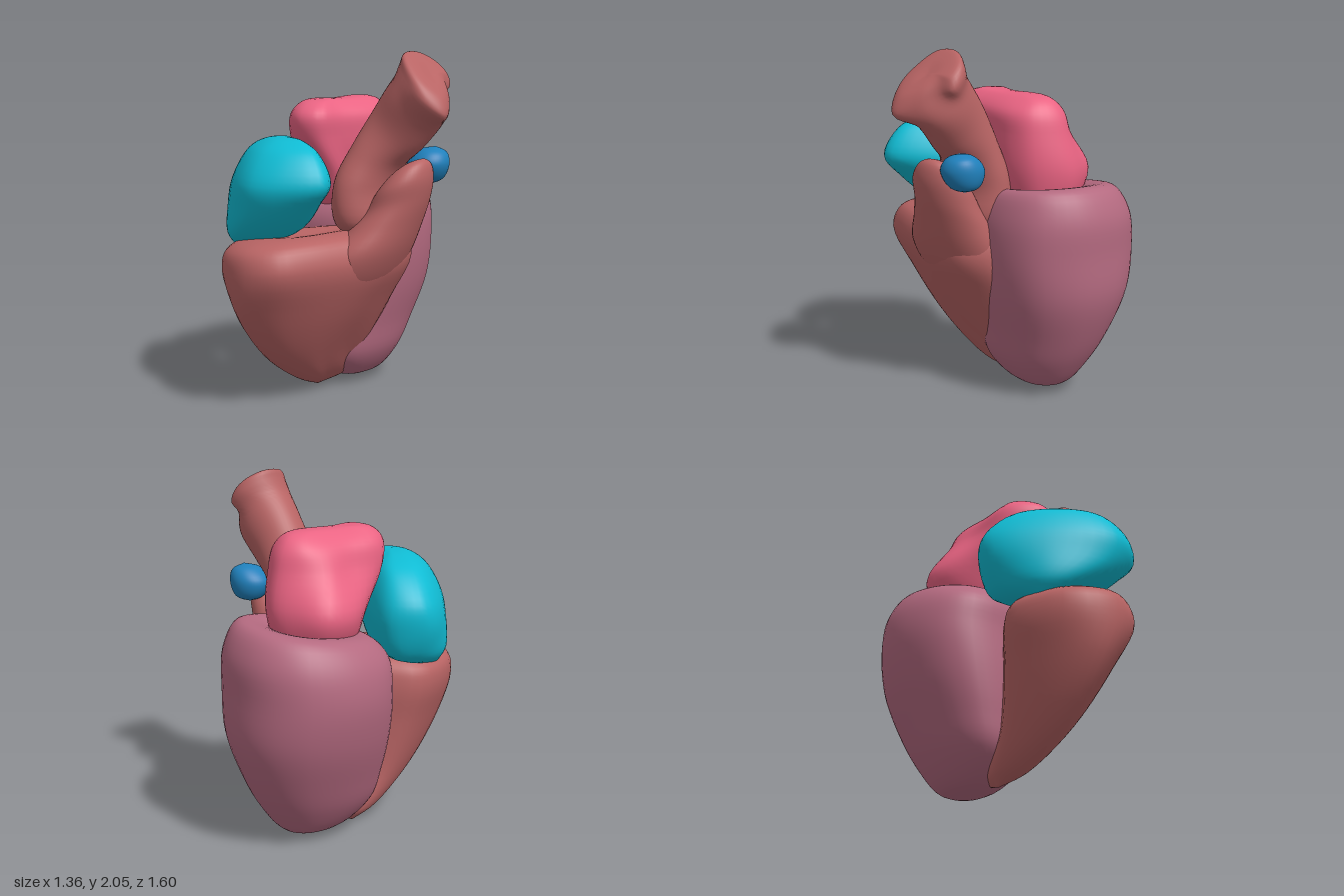
import * as THREE from 'three';
import { mergeVertices } from 'three/addons/utils/BufferGeometryUtils.js';

const AROUND = 44, STEPS = 5;
const V = (x, y, z) => new THREE.Vector3(x, y, z);

// elliptical cross-section, optionally sloped in x
function oval(cx, cy, cz, rx, rz, slopeX = 0) {
  return Array.from({ length: AROUND }, (_, i) => {
    const a = (i / AROUND) * Math.PI * 2, dx = rx * Math.sin(a);
    return V(cx + dx, cy + slopeX * dx, cz + rz * Math.cos(a));
  });
}

// free cross-section through [x, z] points, front -> +x -> back -> -x
function outline(y, pts, slopeX = 0, slopeZ = 0) {
  const curve = new THREE.CatmullRomCurve3(
    pts.map(([x, z]) => V(x, y + slopeX * x + slopeZ * z, z)), true);
  return Array.from({ length: AROUND }, (_, i) => curve.getPoint(i / AROUND));
}

// scale and place a list of [x, z] points
const place = (pts, cx, cz, sx, sz) => pts.map(([x, z]) => [cx + x * sx, cz + z * sz]);

// smooth closed skin from a bottom pole through the rings to a top pole
function loft(bottom, rings, top) {
  const rows = (rings.length + 1) * STEPS, pos = [], index = [];
  const columns = Array.from({ length: AROUND }, (_, j) =>
    new THREE.CatmullRomCurve3([bottom, ...rings.map(r => r[j]), top]));
  for (let i = 0; i <= rows; i++)
    for (const c of columns) pos.push(...c.getPoint(i / rows).toArray());
  for (let i = 0; i < rows; i++)
    for (let j = 0; j < AROUND; j++) {
      const k = (j + 1) % AROUND;
      const a = i * AROUND + j, b = i * AROUND + k, c = a + AROUND, d = b + AROUND;
      if (i > 0) index.push(a, b, c);
      if (i < rows - 1) index.push(b, d, c);
    }
  const geo = new THREE.BufferGeometry();
  geo.setAttribute('position', new THREE.Float32BufferAttribute(pos, 3));
  geo.setIndex(index);
  const merged = mergeVertices(geo, 1e-5);
  merged.computeVertexNormals();
  return merged;
}

export function createModel() {
  const group = new THREE.Group();
  const muscle = new THREE.MeshStandardMaterial({ color: 0xb86464 });
  const mauve = new THREE.MeshStandardMaterial({ color: 0xb46a80 });
  const cyan = new THREE.MeshStandardMaterial({ color: 0x10bcd4 });
  const pink = new THREE.MeshStandardMaterial({ color: 0xea6483 });
  const blue = new THREE.MeshStandardMaterial({ color: 0x2080bb });
  const add = (name, mat, geo) => {
    const mesh = new THREE.Mesh(geo, mat);
    mesh.name = name;
    group.add(mesh);
  };

  // rear chamber, a lopsided rounded cup with a dished top
  const cup = [[0, 1], [0.72, 0.74], [1, 0.1], [0.93, -0.53], [0.5, -0.91], [-0.08, -1],
    [-0.5, -0.88], [-0.82, -0.58], [-1, 0], [-0.9, 0.6], [-0.6, 0.92]];
  const cupRing = (y, cx, cz, rx, rz, slopeX = 0, slopeZ = 0) =>
    outline(y, place(cup, cx, cz, rx, rz), slopeX, slopeZ);
  add('leftVentricle', mauve, loft(V(-0.2, 0.02, -0.3), [
    cupRing(0.05, -0.19, -0.29, 0.14, 0.18),
    cupRing(0.2, -0.195, -0.27, 0.265, 0.33),
    cupRing(0.4, -0.21, -0.31, 0.34, 0.4),
    cupRing(0.65, -0.22, -0.35, 0.42, 0.445),
    cupRing(0.9, -0.225, -0.36, 0.455, 0.44),
    cupRing(1.09, -0.215, -0.36, 0.43, 0.43, 0.03, -0.05),
    cupRing(1.2, -0.2, -0.36, 0.35, 0.34, 0.06, -0.12),
    cupRing(1.2, -0.19, -0.34, 0.23, 0.21, 0.06, -0.12),
  ], V(-0.19, 1.08, -0.3)));

  // front chamber, wedge-shaped and wrapped round the rear one
  add('rightVentricle', muscle, loft(V(-0.23, 0, 0), [
    outline(0.08, [[-0.23, 0.19], [-0.17, 0.18], [-0.13, 0.12], [-0.12, 0.04], [-0.1, -0.08],
      [-0.12, -0.18], [-0.21, -0.12], [-0.28, -0.02], [-0.3, 0.06], [-0.28, 0.14]]),
    outline(0.3, [[-0.2, 0.51], [-0.1, 0.46], [-0.02, 0.34], [0.02, 0.2], [0.04, 0.05],
      [0.05, -0.12], [-0.08, -0.25], [-0.28, 0.05], [-0.36, 0.2], [-0.3, 0.42]]),
    outline(0.6, [[-0.18, 0.74], [-0.02, 0.67], [0.1, 0.5], [0.18, 0.3], [0.23, 0.1],
      [0.22, -0.14], [0.06, -0.32], [-0.3, 0.1], [-0.43, 0.28], [-0.35, 0.6]]),
    outline(0.84, [[-0.13, 0.8], [0.08, 0.74], [0.19, 0.55], [0.28, 0.3], [0.36, 0.05],
      [0.34, -0.18], [0.14, -0.32], [-0.3, 0.1], [-0.48, 0.32], [-0.37, 0.68]], 0.06),
    outline(0.97, [[-0.13, 0.77], [0.05, 0.7], [0.15, 0.53], [0.23, 0.29], [0.3, 0.05],
      [0.3, -0.17], [0.12, -0.28], [-0.28, 0.12], [-0.46, 0.34], [-0.36, 0.66]], 0.1),
    outline(1.02, [[-0.12, 0.62], [0, 0.57], [0.07, 0.43], [0.12, 0.25], [0.17, 0.08],
      [0.16, -0.08], [0.05, -0.1], [-0.2, 0.17], [-0.34, 0.36], [-0.28, 0.54]], 0.06),
  ], V(-0.05, 1.0, 0.3)));

  // broad outflow horn sweeping up from the front chamber
  add('outflowHorn', muscle, loft(V(0.06, 0.5, 0), [
    oval(0.12, 0.7, 0.03, 0.16, 0.28),
    oval(0.2, 0.9, 0.03, 0.2, 0.31),
    oval(0.27, 1.05, -0.02, 0.2, 0.25, 0.2),
    oval(0.335, 1.17, -0.05, 0.175, 0.205, 0.3),
    oval(0.38, 1.29, -0.055, 0.15, 0.185, 0.35),
    oval(0.41, 1.38, -0.07, 0.105, 0.135, 0.4),
    oval(0.43, 1.425, -0.08, 0.055, 0.07, 0.4),
  ], V(0.44, 1.44, -0.09)));

  // great artery, leaning outwards to a skewed, domed end
  const arteryEnd = [[0.5, 0.08], [0.6, 0.08], [0.68, 0], [0.62, -0.14], [0.54, -0.22],
    [0.51, -0.3], [0.42, -0.29], [0.35, -0.18], [0.36, -0.02]];
  const endRing = (y, s) =>
    outline(y, place(arteryEnd, 0.52 * (1 - s), -0.1 * (1 - s), s, s), -0.88);
  add('aorta', muscle, loft(V(0.12, 0.95, -0.03), [
    oval(0.12, 1.05, -0.04, 0.15, 0.23),
    oval(0.12, 1.28, -0.04, 0.15, 0.25, -0.2),
    oval(0.19, 1.46, -0.07, 0.13, 0.2, -0.6),
    oval(0.3, 1.61, -0.1, 0.14, 0.165, -0.85),
    oval(0.42, 1.76, -0.105, 0.145, 0.175, -0.88),
    endRing(2.3, 1),
    endRing(2.37, 0.87),
    endRing(2.39, 0.5),
  ], V(0.52, 1.925, -0.1)));

  // front upper chamber
  add('rightAtrium', cyan, loft(V(-0.41, 0.92, 0.5), [
    outline(1.02, [[-0.32, 0.64], [-0.16, 0.61], [-0.06, 0.5], [-0.12, 0.3],
      [-0.3, 0.16], [-0.45, 0.15], [-0.52, 0.3], [-0.46, 0.53]]),
    outline(1.2, [[-0.13, 0.74], [0.05, 0.69], [0.16, 0.55], [0.07, 0.33],
      [-0.15, 0.17], [-0.45, 0.07], [-0.59, 0.26], [-0.42, 0.57]]),
    outline(1.34, [[-0.1, 0.755], [0.1, 0.72], [0.285, 0.55], [0.11, 0.31],
      [-0.15, 0.16], [-0.45, 0.08], [-0.58, 0.24], [-0.4, 0.55]]),
    outline(1.5, [[-0.1, 0.65], [0.08, 0.63], [0.2, 0.52], [0.05, 0.35],
      [-0.15, 0.23], [-0.36, 0.17], [-0.44, 0.3], [-0.31, 0.51]]),
    outline(1.565, [[-0.09, 0.54], [0, 0.53], [0.06, 0.48], [0, 0.41],
      [-0.12, 0.35], [-0.22, 0.31], [-0.26, 0.37], [-0.2, 0.47]]),
  ], V(-0.08, 1.58, 0.44)));

  // rear upper chamber, long from front to back
  add('leftAtrium', pink, loft(V(-0.2, 1.0, -0.22), [
    outline(1.1, [[-0.17, 0], [-0.08, -0.04], [-0.05, -0.12], [-0.02, -0.27], [-0.05, -0.4],
      [-0.16, -0.46], [-0.28, -0.43], [-0.36, -0.34], [-0.36, -0.18], [-0.28, -0.06]]),
    outline(1.32, [[-0.15, 0.12], [-0.03, 0.07], [0, -0.08], [0.06, -0.27], [0.02, -0.43],
      [-0.15, -0.54], [-0.31, -0.5], [-0.46, -0.4], [-0.47, -0.2], [-0.34, 0]]),
    outline(1.55, [[-0.15, 0.25], [-0.03, 0.22], [0.01, 0.05], [0.07, -0.25], [0.03, -0.41],
      [-0.14, -0.5], [-0.26, -0.44], [-0.36, -0.3], [-0.35, -0.12], [-0.33, 0.12]]),
    outline(1.68, [[-0.15, 0.27], [-0.02, 0.23], [0.01, 0.05], [0.06, -0.25], [0.01, -0.39],
      [-0.14, -0.46], [-0.24, -0.4], [-0.29, -0.28], [-0.3, -0.1], [-0.31, 0.13]]),
    outline(1.755, [[-0.15, 0.18], [-0.06, 0.15], [-0.06, 0], [-0.03, -0.22], [-0.05, -0.34],
      [-0.13, -0.38], [-0.18, -0.34], [-0.2, -0.25], [-0.2, -0.05], [-0.24, 0.1]]),
  ], V(-0.13, 1.765, -0.08)));

  // small lobe beside the horn
  add('sideLobe', blue, loft(V(0.4, 1.275, -0.26), [
    oval(0.4, 1.31, -0.26, 0.085, 0.085),
    oval(0.405, 1.4, -0.25, 0.125, 0.12),
    oval(0.43, 1.47, -0.26, 0.08, 0.085, -0.1),
  ], V(0.44, 1.5, -0.27)));

  return group;
}
